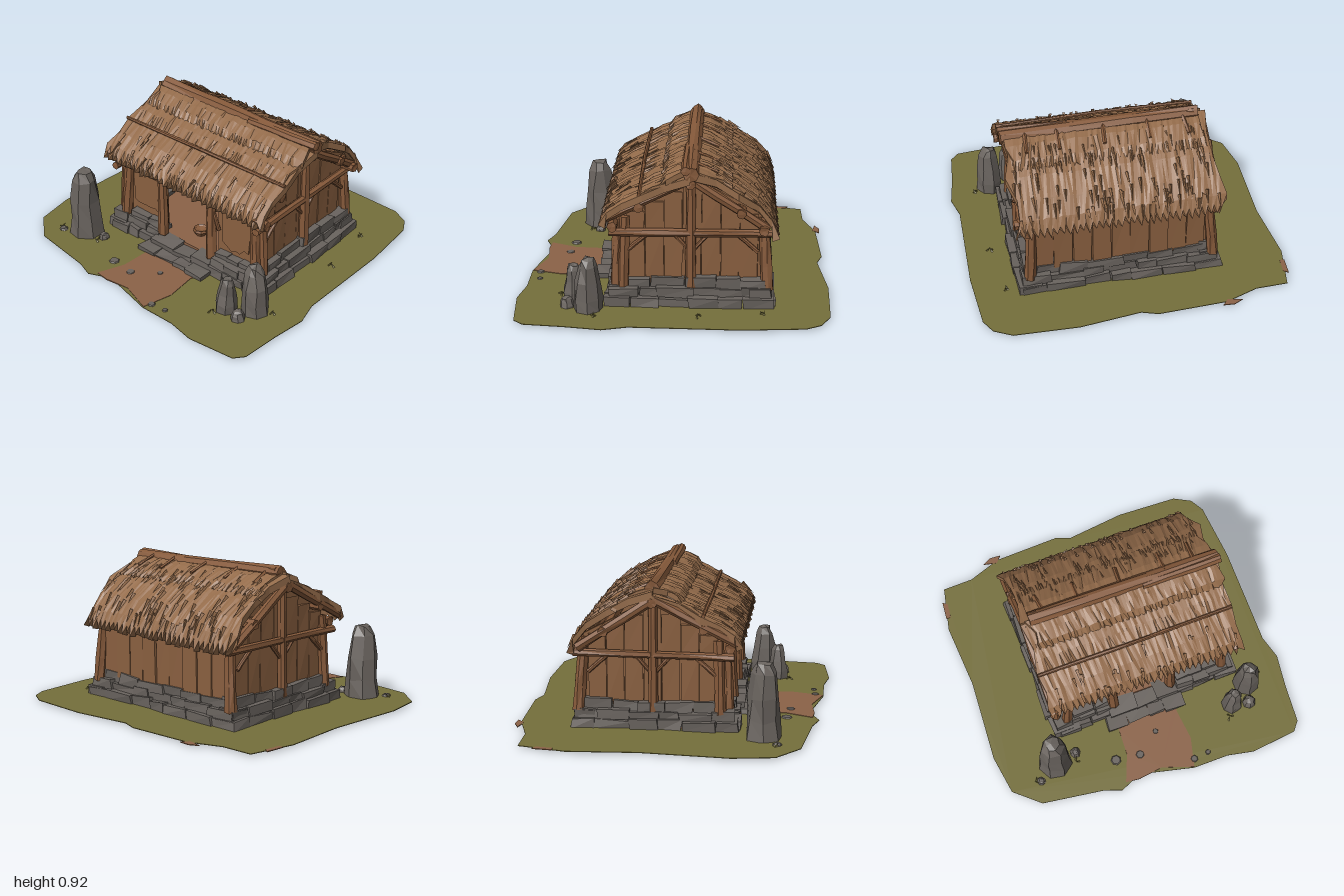
import * as THREE from 'three';
import { mergeGeometries } from 'three/addons/utils/BufferGeometryUtils.js';

const mat = (name, color, side = THREE.FrontSide) => {
  const m = new THREE.MeshStandardMaterial({ color, side });
  m.name = name;
  return m;
};

export function createModel() {
  const model = new THREE.Group();
  model.name = 'thatchedHut';
  const thatchMat = mat('thatch', 0x936b4a, THREE.DoubleSide);
  const wood = mat('wood', 0x85593a);
  const wallMat = mat('wall planks', 0x8a6040);
  const stone = mat('stone', 0x69635e);
  const grass = mat('grass', 0x756f3b);
  const dirt = mat('dirt', 0x8b6247);

  let seed = 7;
  const rnd = () => (seed = (seed * 16807) % 2147483647) / 2147483647;
  const vary = (a) => (rnd() * 2 - 1) * a;
  const V = (x, y, z) => new THREE.Vector3(x, y, z);

  // Faceted normals, with shared corners moved together by a small amount
  function facet(geo, amount = 0) {
    const g = geo.index ? geo.toNonIndexed() : geo;
    const p = g.attributes.position, moved = new Map();
    for (let i = 0; i < p.count; i++) {
      const k = [p.getX(i), p.getY(i), p.getZ(i)].map((v) => Math.round(v * 1e4)).join();
      if (!moved.has(k)) moved.set(k, [vary(amount), vary(amount), vary(amount)]);
      const d = moved.get(k);
      p.setXYZ(i, p.getX(i) + d[0], p.getY(i) + d[1], p.getZ(i) + d[2]);
    }
    g.computeVertexNormals();
    return g;
  }
  function add(name, geo, material) {
    const m = new THREE.Mesh(Array.isArray(geo) ? mergeGeometries(geo) : geo, material);
    m.name = name;
    model.add(m);
    return m;
  }
  const box = (x0, x1, y0, y1, z0, z1, j = 0) =>
    facet(new THREE.BoxGeometry(x1 - x0, y1 - y0, z1 - z0), j)
      .translate((x0 + x1) / 2, (y0 + y1) / 2, (z0 + z1) / 2);
  // Rough log from a to b
  function pole(a, b, r0, r1 = r0, sides = 7) {
    const d = b.clone().sub(a), len = d.length();
    const g = facet(new THREE.CylinderGeometry(r1, r0, len, sides, 3), r0 * 0.12);
    g.applyQuaternion(new THREE.Quaternion().setFromUnitVectors(V(0, 1, 0), d.normalize()));
    return g.translate((a.x + b.x) / 2, (a.y + b.y) / 2, (a.z + b.z) / 2);
  }
  // Flat plate from [x, z] points
  function plate(pts, top, depth) {
    const s = new THREE.Shape(pts.map(([x, z]) => new THREE.Vector2(x, z)));
    return facet(new THREE.ExtrudeGeometry(s, { depth, bevelEnabled: false }))
      .rotateX(Math.PI / 2).translate(0, top, 0);
  }

  // Ground
  add('grassGround', plate([[-.94, -.84], [-.74, -.845], [-.53, -.92], [-.1, -.935], [0, -.9], [.38, -.945],
    [.78, -.93], [.89, -.87], [.94, -.78], [.97, -.4], [.96, .25], [1, .4], [.97, .62], [.95, .86], [.9, .92], [.6, .95],
    [.43, .915], [.2, .915], [-.15, .83], [-.29, .89], [-.4, .85], [-.8, .79], [-.96, .65],
    [-1, .4], [-.97, -.13], [-1, -.55]], 0.005, 0.004), grass);
  add('dirtPath', [
    plate([[-.5, -.55], [.45, -.55], [.55, .1], [.3, .35], [.23, .52], [.25, .72], [.2, .91], [0, .84], [-.16, .86],
      [-.25, .85], [-.18, .68], [-.17, .5], [-.3, .3], [-.55, .1]], 0.008, 0.008),
    plate([[-.63, -.92], [-.57, -.95], [-.5, -.945], [-.54, -.9]], 0.006, 0.005),
    plate([[-.99, -.63], [-.98, -.75], [-.95, -.73], [-.96, -.63]], 0.007, 0.005)], dirt);
  add('pathStones', [[-.26, .69, .035], [-.1, .71, .03], [.05, .6, .02], [.22, .86, .025], [.32, .85, .018]].map(([x, z, r]) =>
    facet(new THREE.CylinderGeometry(r * 0.8, r, 0.008, 7)).translate(x, 0.008, z)), stone);

  // Foundation: flat blocks laid in rows along each side
  const blocks = [];
  function row(x0, x1, z0, z1, y0, y1, n, alongX) {
    let t = 0;
    for (let i = 0; i < n; i++) {
      const e = i === n - 1 ? 1 : (i + 1 + vary(0.22)) / n, top = y1 + vary(0.008);
      blocks.push(alongX
        ? box(x0 + (x1 - x0) * t, x0 + (x1 - x0) * e, y0, top, z0 + vary(.01), z1 + vary(.012), 0.008)
        : box(x0 + vary(.012), x1 + vary(.012), y0, top, z0 + (z1 - z0) * t, z0 + (z1 - z0) * e, 0.008));
      t = e;
    }
  }
  for (const [y0, y1, inset] of [[0, 0.062, 0], [0.055, 0.112, 0.025]]) {
    row(-.59 + inset, -.44, -.6 + inset, .41 - inset, y0, y1, 6, false);
    row(.54, .69 - inset, -.6 + inset, .41 - inset, y0, y1, 6, false);
    row(-.56, .66, -.6 + inset, -.46, y0, y1, 7, true);
    row(-.54, -.17, .26, .41 - inset, y0, y1, 3, true);
    row(.28, .64, .26, .41 - inset, y0, y1, 3, true);
  }
  row(-.54, -.45, -.55, .27, 0.1, 0.168, 5, false);
  row(.55, .64, -.55, .27, 0.1, 0.168, 5, false);
  row(-.47, .57, -.56, -.47, 0.1, 0.165, 6, true);
  row(-.43, -.18, .27, .35, 0.1, 0.145, 2, true);
  row(.29, .56, .27, .35, 0.1, 0.15, 3, true);
  row(-.23, .3, .4, .5, 0, 0.035, 4, true);
  row(-.19, .28, .3, .42, 0, 0.065, 3, true);
  add('foundationStones', blocks, stone);
  add('floor', box(-.46, .56, 0.01, 0.07, -.5, .32), dirt);

  // Gable walls
  const gable = new THREE.Shape([[.29, .1], [.29, .6], [-.1, .8], [-.53, .57], [-.53, .1]].map(([z, y]) => new THREE.Vector2(-z, y)));
  for (const x of [-.5, .56]) {
    const g = facet(new THREE.ExtrudeGeometry(gable, { depth: 0.03, bevelEnabled: false }));
    add('gableWall', g.rotateY(Math.PI / 2).translate(x, 0, 0), wallMat);
  }
  // Plank cladding on the back and gables, and the two front panels
  const planks = [];
  for (let i = 0; i < 9; i++) {
    const x = -.48 + i * 0.118;
    planks.push(box(x, x + 0.114, 0.14 + vary(.012), 0.56, -.55 + vary(.006), -.515, 0.004));
  }
  for (const x of [-.506, .594]) for (let i = 0; i < 7; i++) {
    const z = -.5 + i * 0.112;
    planks.push(box(x - .004, x + .004, 0.15, 0.45, z, z + 0.107, 0.003));
    planks.push(box(x - .006, x + .006, 0.47, 0.76 - Math.abs(z + .155) * 0.55, z, z + 0.107, 0.003));
  }
  for (const [x0, x1] of [[-.47, -.17], [.27, .57]]) {
    planks.push(box(x0, x1, 0.1, 0.58, .27, .3));
    // ragged hanging on the panel
    const s = new THREE.Shape();
    s.moveTo(x0 + .03, .5).lineTo(x0 + .04, .21);
    for (let i = 1; i < 7; i++) s.lineTo(x0 + .04 + i * 0.034, 0.19 + vary(0.025));
    s.lineTo(x1 - .03, .5);
    planks.push(facet(new THREE.ExtrudeGeometry(s, { depth: 0.008, bevelEnabled: false })).translate(0, 0, .3));
  }
  add('wallPlanks', planks.map((g) => g.deleteAttribute('uv')), wallMat);

  // Posts, beams and braces
  const frame = [];
  for (const [xb, xt] of [[-.47, -.44], [-.15, -.165], [.25, .235], [.605, .575]])
    frame.push(pole(V(xb, .09, .345), V(xt, .53, .33), .036, .029));
  frame.push(pole(V(.3, .3, .33), V(.23, .5, .33), .012), pole(V(-.2, .3, .33), V(-.14, .48, .33), .012));
  frame.push(pole(V(-.53, .505, .355), V(.69, .51, .355), .032), pole(V(-.53, .5, -.53), V(.69, .5, -.53), .03));
  frame.push(box(-.14, .23, .47, .5, .31, .335, .004));
  for (const s of [-1, 1]) {
    const X = (d) => 0.045 + s * d;
    frame.push(
      pole(V(X(.575), .1, -.56), V(X(.54), .55, -.53), .038, .03),
      pole(V(X(.575), .1, .3), V(X(.55), .55, .285), .037, .031),
      pole(V(X(.575), .1, -.105), V(X(.565), .8, -.105), .034, .027),
      pole(V(X(.575), .455, .38), V(X(.575), .46, -.59), .025),
      pole(V(X(.57), .34, .27), V(X(.57), .44, .16), .014),
      pole(V(X(.57), .34, -.5), V(X(.57), .44, -.39), .014),
      pole(V(X(.57), .35, -.12), V(X(.57), .44, -.2), .012),
      pole(V(X(.57), .35, -.09), V(X(.57), .44, -.01), .012),
      pole(V(X(.6), .545, .41), V(X(.6), .8, -.1), .028),
      pole(V(X(.6), .495, -.56), V(X(.6), .8, -.1), .028));
  }
  for (const [z, y] of [[.2, .63], [-.4, .6], [-.105, .78]]) frame.push(pole(V(-.58, y, z), V(.68, y, z), .03));
  add('timberFrame', frame, wood);

  // Thatch layer: closed cross-section swept along x with a ragged lower edge
  function thatch(name, prof, thick, x0, x1, fringe) {
    const cols = 64, n = prof.length, pos = [];
    const rings = [];
    for (let i = 0; i <= cols; i++) {
      const x = x0 + (x1 - x0) * i / cols, end = i === 0 || i === cols;
      const outer = [], inner = [];
      const drop = (i % 2 ? 0.1 : 0.65 + 0.35 * rnd()) * fringe;
      prof.forEach(([z, y], j) => {
        const last = j === n - 1, dz = last ? z - prof[j - 1][0] : 0;
        const px = x + (end ? vary(.03) : vary(.004)), lift = j ? vary(.007) : 0;
        const k = last ? drop : 0;
        outer.push([px, y + lift - k * 0.85, z + Math.sign(dz) * k * 0.35]);
        inner.push([px, y - thick + lift - k * 0.45, z - Math.sign(dz) * 0.02]);
      });
      rings.push([...outer, ...inner.reverse()]);
    }
    const quad = (a, b, c, d) => pos.push(...a, ...b, ...c, ...a, ...c, ...d);
    const m = 2 * n;
    for (let i = 0; i < cols; i++) for (let j = 0; j < m; j++) {
      const k = (j + 1) % m;
      quad(rings[i][j], rings[i][k], rings[i + 1][k], rings[i + 1][j]);
    }
    for (const r of [rings[0], rings[cols]]) for (let j = 0; j < n - 1; j++) quad(r[j], r[j + 1], r[m - 2 - j], r[m - 1 - j]);
    const g = new THREE.BufferGeometry();
    g.setAttribute('position', new THREE.Float32BufferAttribute(pos, 3));
    g.computeVertexNormals();
    add(name, g, thatchMat);
  }
  const back = [[-.1, .855], [-.25, .805], [-.38, .735], [-.5, .65], [-.575, .56], [-.6, .515]];
  const front = [[-.1, .83], [.05, .775], [.18, .715], [.3, .66], [.385, .605], [.415, .575]];
  thatch('backThatch', back, 0.045, -.57, .68, 0.085);
  thatch('backUpperThatch', [[-.1, .87], [-.2, .84], [-.29, .795], [-.34, .765]], 0.03, -.54, .67, 0.04);
  thatch('frontThatch', front, 0.045, -.57, .68, 0.075);
  thatch('frontUpperThatch', [[-.1, .87], [-.02, .845], [.04, .815], [.07, .785]], 0.035, -.53, .67, 0.07);
  thatch('frontMiddleThatch', [[.03, .79], [.12, .755], [.2, .715]], 0.03, -.55, .67, 0.02);

  // Loose straw tufts lying on the slopes
  const tufts = [];
  for (const [prof, count] of [[back, 110], [front, 45]]) for (let i = 0; i < count; i++) {
    const j = 1 + Math.floor(rnd() * (prof.length - 2)), t = rnd();
    const [a, b] = [prof[j], prof[j + 1]];
    const dir = V(vary(.012), b[1] - a[1], b[0] - a[0]).normalize();
    const g = facet(new THREE.ConeGeometry(0.012, 0.07 + rnd() * 0.04, 3));
    g.applyQuaternion(new THREE.Quaternion().setFromUnitVectors(V(0, 1, 0), dir));
    tufts.push(g.translate(-.56 + rnd() * 1.23, a[1] + (b[1] - a[1]) * t + .006, a[0] + (b[0] - a[0]) * t));
  }
  add('strawTufts', tufts, thatchMat);

  // Ridge log, capping boards and the pole binding the front thatch
  add('ridgePoles', [
    pole(V(-.52, .862, -.11), V(.7, .845, -.105), .043, .043, 8),
    pole(V(.2, .855, -.075), V(.71, .868, -.075), .027),
    pole(V(-.5, .88, -.13), V(-.12, .86, -.09), .018),
    pole(V(-.58, .715, .2), V(.05, .722, .205), .012),
    pole(V(0, .722, .205), V(.69, .712, .195), .012)], wood);
  add('ridgeBattens', [-.42, -.2, .07, .36, .55].map((x) =>
    pole(V(x, .875, -.11), V(x + vary(.02), .815, -.26), .013, .011, 5)), wood);

  // Standing stones: tapered faceted boulders
  function boulder(name, x, z, r, h, lean) {
    const pts = [[0, 0], [1, 0], [.97, .25], [.85, .55], [.66, .85], [.4, .98], [0, 1]];
    const g = new THREE.LatheGeometry(pts.map(([a, b]) => new THREE.Vector2(a * r, b * h)), 7, x);
    const f = facet(g, r * 0.09), p = f.attributes.position;
    for (let i = 0; i < p.count; i++) p.setX(i, p.getX(i) + lean * p.getY(i) / h);
    f.computeVertexNormals();
    add(name, f.translate(x, 0, z), stone);
  }
  boulder('tallStandingStone', -.63, .56, .107, .47, 0);
  boulder('rightStandingStone', .73, .5, .088, .33, -.01);
  boulder('shortStandingStone', .585, .6, .066, .235, .01);
  boulder('smallRock', .7, .63, .045, .07, 0);
  boulder('smallRock', -.49, .55, .035, .04, 0);
  boulder('smallRock', -.76, .65, .03, .02, 0);

  // Grass tufts and the bowl inside
  add('grassTufts', [[.77, -.54], [.81, -.16], [-.78, .64], [.83, .46], [-.5, .6], [.55, .68]].flatMap(([x, z]) => [0, 1, 2].map((i) =>
    facet(new THREE.ConeGeometry(.008, .035, 3)).rotateZ(.8).rotateY(i * 2.1).translate(x + vary(.015), .015, z + vary(.015)))), grass);
  const bowlShape = [[0, 0], [.035, 0], [.052, .03], [.045, .045], [.036, .035], [0, .025]].map(([a, b]) => new THREE.Vector2(a, b));
  add('bowl', facet(new THREE.LatheGeometry(bowlShape, 9)).translate(.02, .07, .18), wood);
  return model;
}
